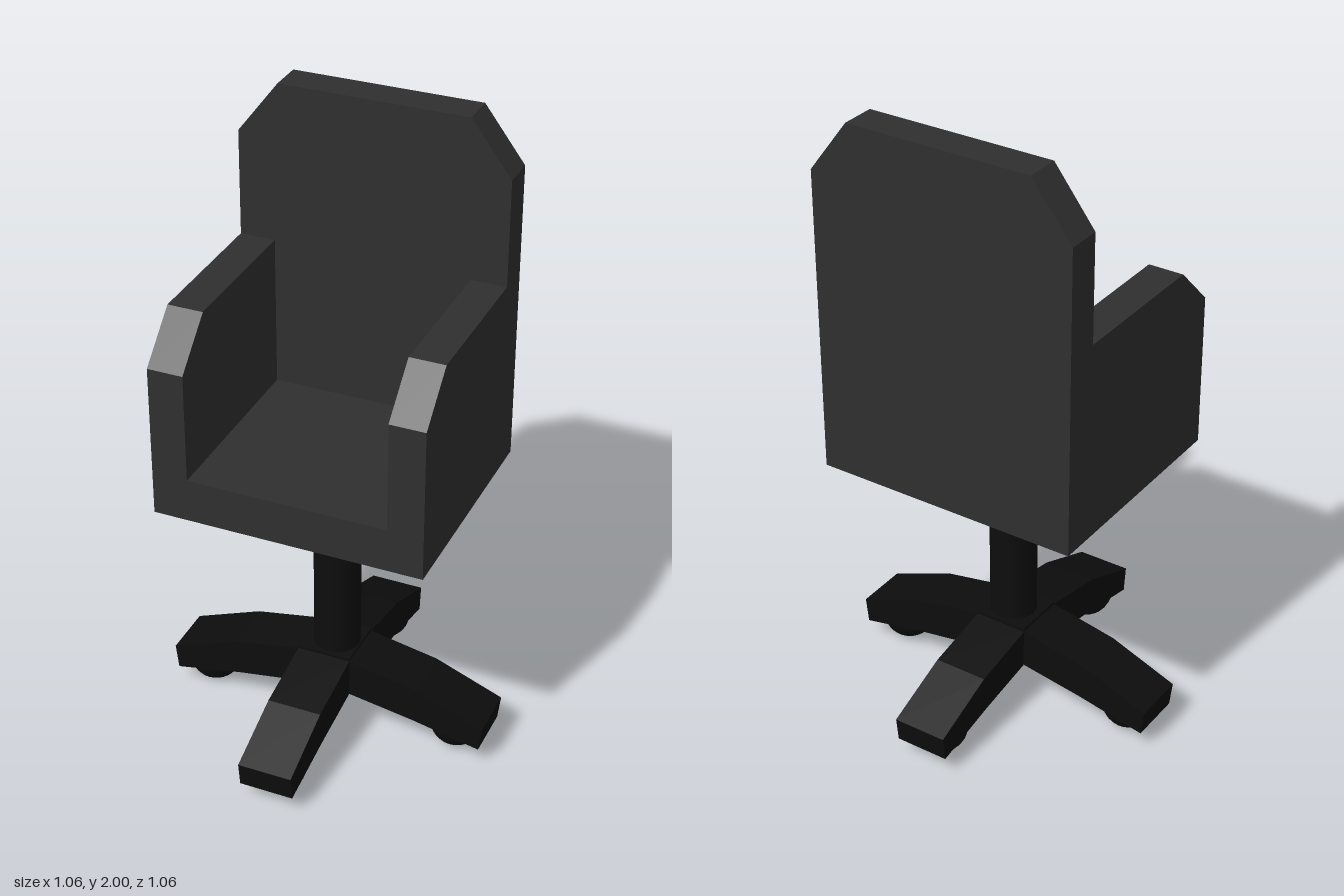
import * as THREE from 'three';

export function createModel() {
  const model = new THREE.Group();
  model.name = 'officeChair';

  const upholstery = new THREE.MeshStandardMaterial({ color: 0x2f2f2f });
  upholstery.name = 'charcoal upholstery';
  const plastic = new THREE.MeshStandardMaterial({ color: 0x0d0d0d });
  plastic.name = 'black base';

  const add = (name, geometry, material, parent = model) => {
    const mesh = new THREE.Mesh(geometry, material);
    mesh.name = name;
    parent.add(mesh);
    return mesh;
  };
  const extrude = (points, depth) => new THREE.ExtrudeGeometry(
    new THREE.Shape(points.map(([x, y]) => new THREE.Vector2(x, y))),
    { depth, bevelEnabled: false });

  // Shell: outer sides, floor and depth of the seat
  const left = 0.42, right = -0.435, floor = 0.86;
  const backZ = -0.387, backFront = -0.277, frontZ = 0.348;
  const armLeft = 0.308, armRight = -0.322;

  // Backrest with clipped top corners
  const back = extrude([
    [right, floor], [left, floor], [left, 1.83], [0.292, 2], [-0.305, 2], [right, 1.83],
  ], backFront - backZ);
  back.translate(0, 0, backZ);
  add('backrest', back, upholstery);

  // Armrests with clipped front corners
  const armProfile = [
    [backFront, floor], [frontZ, floor], [frontZ, 1.352], [0.208, 1.49], [backFront, 1.49],
  ];
  for (const [name, inner, outer] of [['leftArm', armLeft, left], ['rightArm', right, armRight]]) {
    const arm = extrude(armProfile, outer - inner);
    arm.rotateY(-Math.PI / 2).translate(outer, 0, 0);
    add(name, arm, upholstery);
  }

  // Seat between the arms
  const seat = new THREE.BoxGeometry(armLeft - armRight, 1 - floor, frontZ - backFront);
  seat.translate((armLeft + armRight) / 2, (1 + floor) / 2, (frontZ + backFront) / 2);
  add('seat', seat, upholstery);

  // Column
  const column = new THREE.CylinderGeometry(0.074, 0.074, 0.66, 32);
  column.translate(0.003, 0.512, -0.006);
  add('column', column, plastic);

  // Crossed arched feet, each bar spanning the full base
  const base = new THREE.Group();
  base.name = 'base';
  model.add(base);
  const half = [
    [0.08, 0.267], [0.31, 0.224], [0.53, 0.138], [0.52, 0.057], [0.3, 0.102], [0.08, 0.138],
  ];
  const mirrored = half.map(([x, y]) => [-x, y]).reverse();
  const width = 0.174;
  for (let i = 0; i < 2; i++) {
    const bar = extrude([...half, ...mirrored].reverse(), width);
    bar.translate(0, 0, -width / 2).rotateY(i * Math.PI / 2);
    bar.translate(i ? -0.006 : -0.003, 0, i ? -0.003 : -0.006);
    add(i ? 'frontBackFoot' : 'sideFoot', bar, plastic, base);
  }

  // Hub where the feet meet
  const hub = new THREE.BoxGeometry(width, 0.12, width);
  hub.translate(-0.006, 0.215, -0.006);
  add('hub', hub, plastic, base);

  // Ball casters
  for (let i = 0; i < 4; i++) {
    const angle = i * Math.PI / 2;
    const ball = add('caster', new THREE.SphereGeometry(0.086, 24, 16), plastic, base);
    ball.position.set(0.421 * Math.cos(angle) - 0.007, 0.086, 0.421 * Math.sin(angle) - 0.004);
  }

  return model;
}
